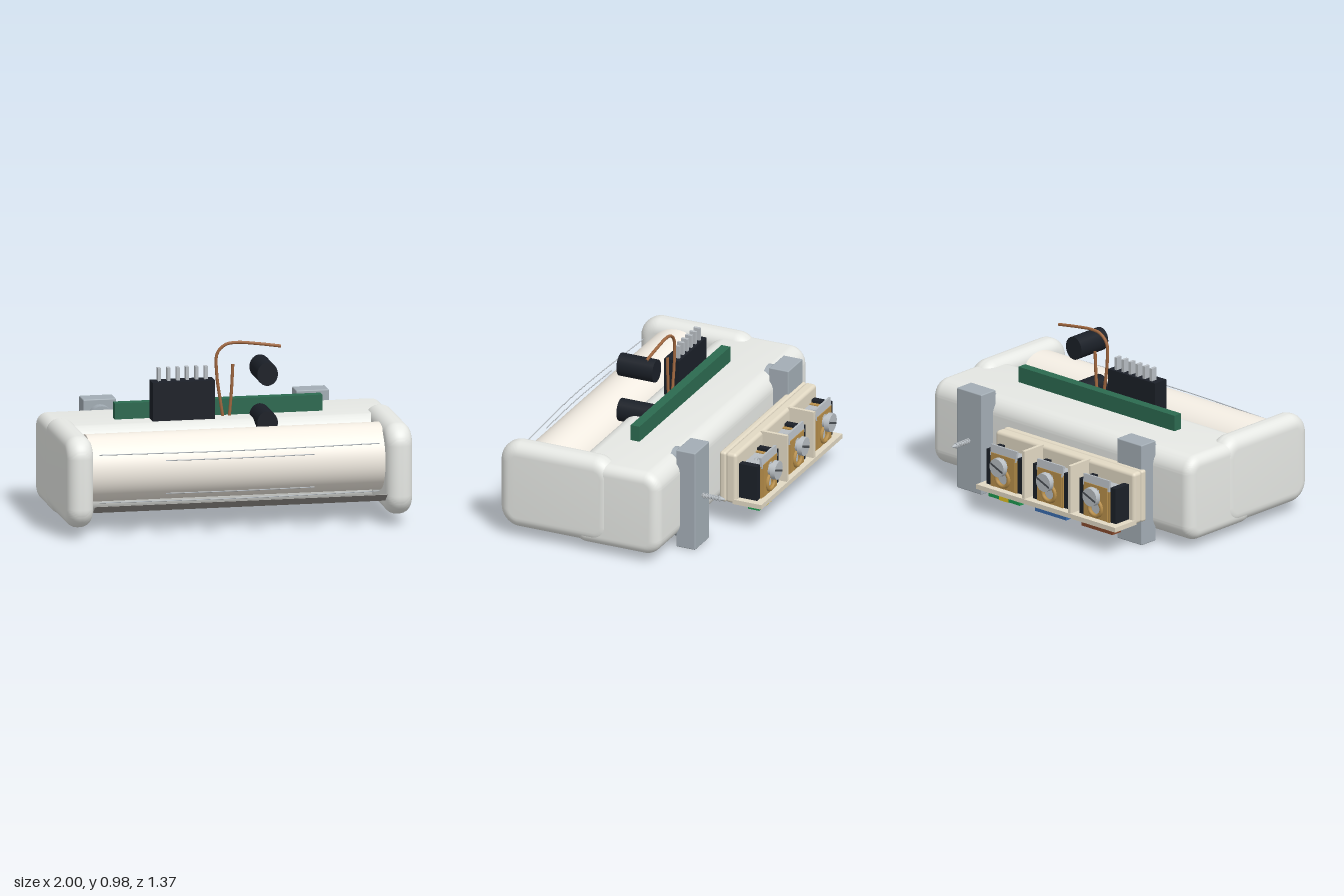
import * as THREE from 'three';
import { toCreasedNormals } from 'three/addons/utils/BufferGeometryUtils.js';
import { RoundedBoxGeometry } from 'three/addons/geometries/RoundedBoxGeometry.js';

const mat = (color) => new THREE.MeshStandardMaterial({ color });
const M = {
  shell: mat(0xe6e8e4), cream: mat(0xf4eee4), strip: mat(0x8f8d88), steel: mat(0xa3adb5), metal: mat(0xb8bec3),
  dark: mat(0x1b2028), green: mat(0x2c6a50), copper: mat(0xa0673f), tan: mat(0xe2d9c4), brass: mat(0xb88f4a),
  slot: mat(0x4a4f54), tagGreen: mat(0x1f9a50), tagBlue: mat(0x3a6cae), tagBrown: mat(0x86492c), yellow: mat(0xe0c020),
};

function add(parent, name, geo, material, x = 0, y = 0, z = 0) {
  const mesh = new THREE.Mesh(geo, material);
  mesh.name = name;
  mesh.position.set(x, y, z);
  parent.add(mesh);
  return mesh;
}

// Box given by its limits on each axis
function box(parent, name, material, [x0, x1], [y0, y1], [z0, z1], radius = 0) {
  const size = [x1 - x0, y1 - y0, z1 - z0];
  const geo = radius ? new RoundedBoxGeometry(...size, 3, radius) : new THREE.BoxGeometry(...size);
  return add(parent, name, geo, material, (x0 + x1) / 2, (y0 + y1) / 2, (z0 + z1) / 2);
}

// Cylinder along z; r0 is the radius at z0, r1 at z1
function rod(parent, name, material, x, y, z0, z1, r0, r1 = r0, sides = 24) {
  const geo = new THREE.CylinderGeometry(r1, r0, z1 - z0, sides).rotateX(Math.PI / 2);
  return add(parent, name, geo, material, x, y, (z0 + z1) / 2);
}

// Slab across x: rounded z-y outline with softly bevelled ends
function softSlab(parent, name, x, width, [y0, y1], [z0, z1], corner, bevel) {
  const w = (z1 - z0) / 2 - bevel, h = (y1 - y0) / 2 - bevel, r = corner - bevel;
  const s = new THREE.Shape();
  s.moveTo(-w + r, -h);
  s.lineTo(w - r, -h);
  s.absarc(w - r, -h + r, r, -Math.PI / 2, 0);
  s.absarc(w - r, h - r, r, 0, Math.PI / 2);
  s.absarc(-w + r, h - r, r, Math.PI / 2, Math.PI);
  s.absarc(-w + r, -h + r, r, Math.PI, Math.PI * 1.5);
  const geo = new THREE.ExtrudeGeometry(s, {
    depth: width - 2 * bevel, bevelThickness: bevel, bevelSize: bevel, bevelSegments: 8, curveSegments: 10,
  });
  geo.translate(0, 0, -(width / 2 - bevel)).rotateY(-Math.PI / 2);
  add(parent, name, toCreasedNormals(geo, 0.6), M.shell, x, (y0 + y1) / 2, (z0 + z1) / 2);
}

// Threaded shank along z
function thread(parent, x, y, z0, z1, r) {
  rod(parent, 'screwShank', M.metal, x, y, z0, z1, r * 0.65, r * 0.65, 12);
  const n = Math.round((z1 - z0) / 0.02);
  for (let i = 0; i < n; i++) {
    const ring = add(parent, 'screwThread', new THREE.TorusGeometry(r * 0.75, r * 0.3, 6, 16), M.metal,
      x, y, z0 + (i + 0.5) * (z1 - z0) / n);
    ring.rotation.x = 0.2;
  }
}

// Smooth thin wire through the given points
function wire(parent, name, material, radius, points) {
  const curve = new THREE.CatmullRomCurve3(points.map((p) => new THREE.Vector3(...p)));
  add(parent, name, new THREE.TubeGeometry(curve, 40, radius, 8), material);
}

function housing(g) {
  softSlab(g, 'body', 0, 1.99, [0.05, 0.557], [-0.325, 0.235], 0.1, 0.06);
  for (const side of [-1, 1]) softSlab(g, 'endCap', side * 0.9225, 0.155, [0.06, 0.587], [-0.03, 0.68], 0.12, 0.07);
  // Drum between the caps
  const drum = new THREE.CylinderGeometry(0.192, 0.192, 1.7, 64).rotateZ(Math.PI / 2);
  add(g, 'drum', drum, M.cream, 0, 0.37, 0.43);
  // Thin sloping guide below the drum
  const guide = add(g, 'lowerGuide', new THREE.BoxGeometry(1.69, 0.002, 0.076), M.strip, 0, 0.172, 0.647);
  guide.rotation.x = -0.66;
  // Bowed wires in front of the drum, mirrored above and below its middle
  for (const s of [-1, 1]) {
    const bow = (half, dy, zEnd, zMid) => wire(g, 'guardWire', M.metal, 0.003,
      [[-half, 0.345 + s * dy, zEnd], [0, 0.345 + s * dy, zMid], [half, 0.345 + s * dy, zEnd]]);
    bow(0.81, 0.138, 0.625, 0.655);
    bow(0.43, 0.095, 0.645, 0.655);
  }
}

function electronics(g) {
  box(g, 'circuitBoard', M.green, [-0.6, 0.6], [0.5, 0.65], [-0.02, 0.035]);
  box(g, 'connector', M.dark, [-0.4, -0.04], [0.5, 0.78], [0.035, 0.13]);
  for (let i = 0; i < 6; i++) {
    const x = -0.353 + i * 0.054;
    box(g, 'connectorPin', M.metal, [x - 0.009, x + 0.009], [0.77, 0.855], [0.05, 0.09]);
  }
  for (const y of [0.55, 0.833]) rod(g, 'capacitor', M.dark, 0.235, y, 0.045, 0.27, 0.068).scale.x = 0.88;
  const z = 0.053;
  wire(g, 'copperWire', M.copper, 0.009, [[0.025, 0.52, z], [0.005, 0.65, z], [-0.015, 0.8, z], [-0.012, 0.92, z],
    [0.035, 0.968, z], [0.1, 0.978, z], [0.22, 0.966, z], [0.355, 0.946, z]]);
  wire(g, 'copperWire', M.copper, 0.009, [[0.055, 0.52, z], [0.07, 0.7, z], [0.078, 0.855, z]]);
}

function brackets(g) {
  for (const x of [-0.62, 0.612]) {
    box(g, 'wallBracket', M.steel, [x - 0.095, x + 0.095], [0.003, 0.605], [-0.42, -0.3], 0.006);
    for (const y of [0.1, 0.508]) rod(g, 'bracketBoss', M.steel, x, y, -0.3, -0.245, 0.068);
    thread(g, x, 0.308, -0.54, -0.42, 0.016);
    rod(g, 'screwTip', M.metal, x, 0.308, -0.562, -0.54, 0.004, 0.012, 12);
  }
}

// One clamp of the terminal block, centred on x
function terminal(g, x, tagColor) {
  const t = new THREE.Group();
  t.name = 'terminal';
  t.position.x = x;
  g.add(t);
  for (const s of [-1, 1]) {
    const span = (a, b) => (s > 0 ? [a, b] : [-b, -a]);
    box(t, 'clampSide', M.dark, span(0.1, 0.14), [0.18, 0.39], [-0.615, -0.49]);
    box(t, 'brassJaw', M.brass, span(0.075, 0.1), [0.18, 0.375], [-0.625, -0.49]);
  }
  box(t, 'clampBody', M.metal, [-0.075, 0.075], [0.19, 0.37], [-0.6, -0.495]);
  // Clamp plate with a rounded wire opening
  const s = new THREE.Shape();
  s.moveTo(-0.09, 0.185);
  s.lineTo(0.09, 0.185);
  s.lineTo(0.09, 0.385);
  s.lineTo(-0.09, 0.385);
  const hole = new THREE.Path();
  hole.absarc(0, 0.25, 0.045, 0, Math.PI * 2);
  s.holes.push(hole);
  add(t, 'clampPlate', new THREE.ExtrudeGeometry(s, { depth: 0.012, bevelEnabled: false }), M.brass, 0, 0, -0.632);
  add(t, 'wireLoop', new THREE.TorusGeometry(0.048, 0.012, 8, 24), M.brass, 0, 0.25, -0.634);
  const label = box(t, 'labelPlate', M.metal, [-0.1, 0.1], [0.365, 0.43], [-0.626, -0.612]);
  label.rotation.x = 0.12;
  // Slotted clamp screw
  rod(t, 'washer', M.metal, 0, 0.325, -0.656, -0.63, 0.036);
  rod(t, 'screwHead', M.metal, 0, 0.325, -0.684, -0.655, 0.054, 0.056);
  const slot = box(t, 'screwSlot', M.slot, [-0.05, 0.05], [0.319, 0.331], [-0.686, -0.678]);
  slot.rotation.z = 0.4;
  thread(t, 0, 0.35, -0.636, -0.54, 0.03);
  // Colour tag under the shelf
  box(t, 'colourTag', M[tagColor], [-0.12, 0.12], [0.11, 0.152], [-0.62, -0.55]);
  if (tagColor === 'tagGreen') box(t, 'tagStripe', M.yellow, [-0.035, 0.035], [0.108, 0.15], [-0.623, -0.585]);
}

function terminalBlock(g) {
  const span = [-0.732, 0.337];
  box(g, 'blockFoot', M.tan, span, [0.15, 0.46], [-0.437, -0.395], 0.015);
  box(g, 'blockBase', M.tan, span, [0.15, 0.46], [-0.502, -0.432], 0.02);
  box(g, 'shelf', M.tan, span, [0.15, 0.178], [-0.66, -0.48]);
  for (const x of [-0.375, -0.02]) box(g, 'divider', M.tan, [x - 0.01, x + 0.01], [0.17, 0.463], [-0.655, -0.49]);
  ['tagBrown', 'tagBlue', 'tagGreen'].forEach((tag, i) => terminal(g, -0.555 + i * 0.357, tag));
}

export function createModel() {
  const model = new THREE.Group();
  model.name = 'rollerUnit';
  const parts = { housing, electronics, brackets, terminalBlock };
  for (const [name, build] of Object.entries(parts)) {
    const group = new THREE.Group();
    group.name = name;
    build(group);
    model.add(group);
  }
  return model;
}
